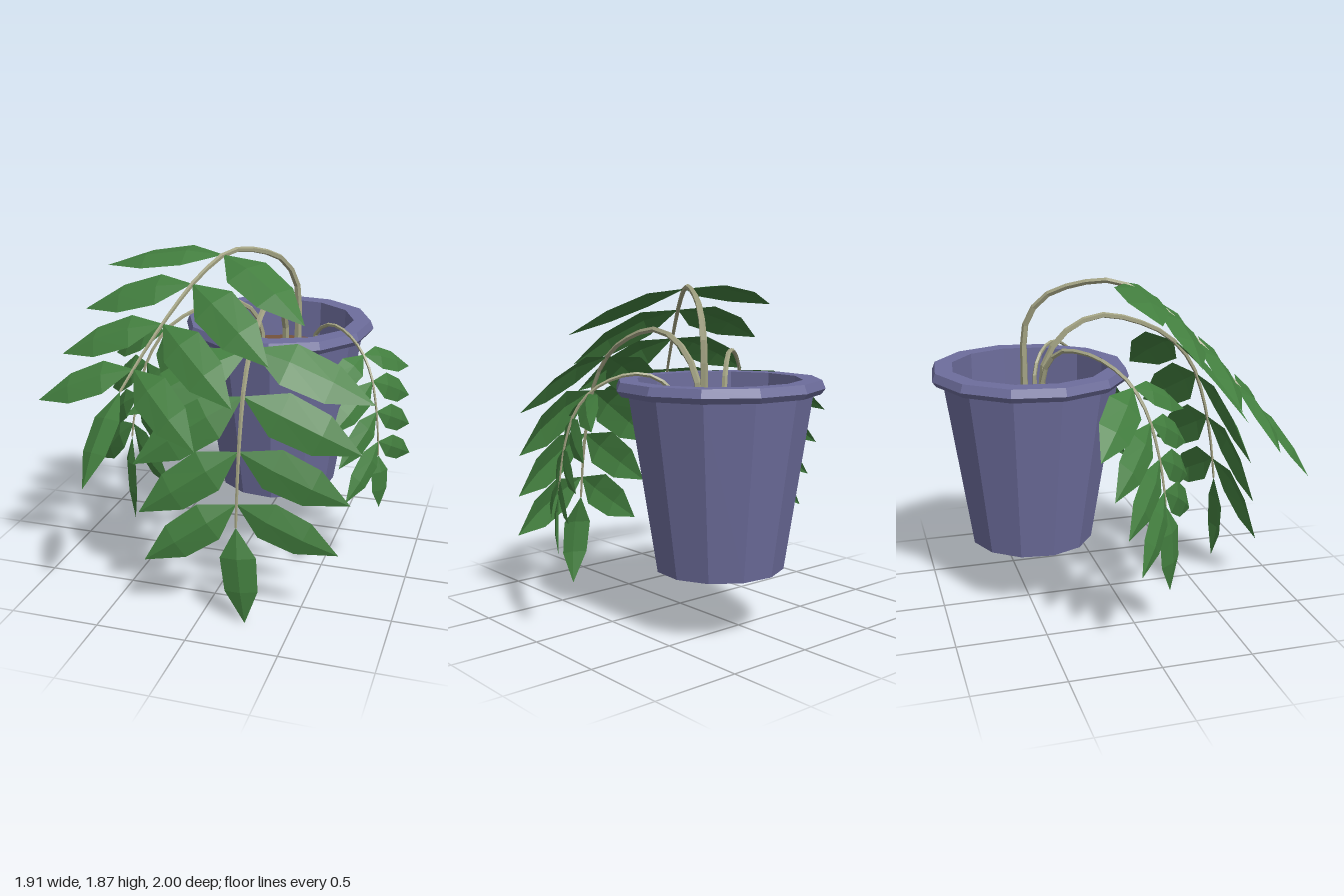
import * as THREE from 'three';

const mat = (name, color) => new THREE.MeshStandardMaterial({ name, color, flatShading: true, side: THREE.DoubleSide });
const V = (p) => new THREE.Vector3(...p);

// How far a stem has travelled outwards at each of its ten control points (0 root, 1 end)
const SWEEP = [0, 0, 0.01, 0.09, 0.25, 0.42, 0.58, 0.73, 0.87, 1];
const HANG = [0, 0.02, 0.15, 0.32, 0.51, 0.71, 0.85, 0.93, 0.975, 1];
const SOIL_ROOT = 1.12;
// Where the leaf pairs sit along every stem
const PAIRS = [0.575, 0.695, 0.815, 0.94];
// Leaf folded along its midrib and gently arched: [position, half width, rib rise, edge rise] per length
const LEAF = [[0, 0, 0, 0], [0.3, 0.18, 0.065, 0.025], [0.65, 0.165, 0.06, 0.02], [1, 0, 0, 0]];

function leafGeometry(base, tip, outward) {
  const dir = tip.clone().sub(base);
  const len = dir.length();
  dir.normalize();
  const up = outward.clone().addScaledVector(dir, -outward.dot(dir)).normalize();
  const across = dir.clone().cross(up);
  const pos = [], idx = [];
  LEAF.forEach(([t, w, rib, edge], i) => {
    for (const s of [-1, 0, 1]) {
      const p = base.clone().addScaledVector(dir, t * len)
        .addScaledVector(across, s * w * len).addScaledVector(up, (s ? edge : rib) * len);
      pos.push(p.x, p.y, p.z);
    }
    if (i === LEAF.length - 1) return;
    for (const a of [i * 3, i * 3 + 1]) {
      if (i > 0) idx.push(a, a + 1, a + 4);
      if (i < LEAF.length - 2) idx.push(a, a + 4, a + 3);
    }
  });
  const g = new THREE.BufferGeometry();
  g.setAttribute('position', new THREE.Float32BufferAttribute(pos, 3));
  g.setIndex(idx);
  g.computeVertexNormals();
  return g;
}

// Five-sided tube that narrows towards its end
function stemGeometry(curve, radius) {
  const steps = 18, sides = 5;
  const g = new THREE.TubeGeometry(curve, steps, radius, sides, false);
  const pos = g.attributes.position, p = new THREE.Vector3();
  for (let i = 0; i < pos.count; i++) {
    const u = Math.floor(i / (sides + 1)) / steps;
    const c = curve.getPointAt(u);
    p.fromBufferAttribute(pos, i).sub(c).multiplyScalar(1 - 0.68 * u).add(c);
    pos.setXYZ(i, p.x, p.y, p.z);
  }
  g.computeVertexNormals();
  return g;
}

export function createModel() {
  const potMat = mat('potBlue', 0x6d6d9c);
  const soilMat = mat('soilBrown', 0x75523b);
  const leafMat = mat('leafGreen', 0x437f3f);
  const stemMat = mat('stemOlive', 0xa3a383);
  const model = new THREE.Group();
  const add = (parent, name, geo, m) => {
    const mesh = new THREE.Mesh(geo, m);
    mesh.name = name;
    parent.add(mesh);
  };

  // Twelve-sided pot with a bevelled rim, leaning very slightly forward
  const planter = new THREE.Group();
  planter.name = 'planter';
  planter.position.set(0.105, 0.36, -0.452);
  planter.rotation.x = 0.01;
  const turned = (points) =>
    new THREE.LatheGeometry(points.map((p) => new THREE.Vector2(...p)), 12, THREE.MathUtils.degToRad(8.7));
  add(planter, 'pot', turned([[0, 0], [0.352, 0], [0.5, 0.95], [0.54, 0.95], [0.563, 0.98],
    [0.545, 1.025], [0.445, 1.025], [0.44, 0.76]]), potMat);
  add(planter, 'soil', turned([[0.441, 0.79], [0, 0.79]]), soilMat);
  model.add(planter);

  // Frond in an upright plane from root [x, z] to end [x, z]; each row of leaves
  // runs evenly from its first tip to its last, and one leaf closes the stem
  const addFrond = (name, { radius, reach, root, end, heights, rows, endTip }) => {
    const frond = new THREE.Group();
    frond.name = name;
    const from = new THREE.Vector3(root[0], 0, root[1]);
    const to = new THREE.Vector3(end[0], 0, end[1]);
    const curve = new THREE.CatmullRomCurve3([SOIL_ROOT, ...heights].map((y, i) =>
      from.clone().lerp(to, reach[i]).setY(y)));
    const side = to.clone().sub(from).normalize().cross(new THREE.Vector3(0, 1, 0));
    const addLeaf = (u, tip, label) =>
      add(frond, label, leafGeometry(curve.getPoint(u), tip, side.clone().cross(curve.getTangent(u))), leafMat);
    add(frond, 'stem', stemGeometry(curve, radius), stemMat);
    for (const [first, last] of rows) {
      PAIRS.forEach((u, i) => addLeaf(u, V(first).lerp(V(last), i / 3), 'leaf'));
    }
    addLeaf(1, V(endTip), 'endLeaf');
    model.add(frond);
  };

  addFrond('tallFrond', {
    radius: 0.023, reach: SWEEP, root: [0.22, -0.45], end: [-0.45, 0.68],
    heights: [1.37, 1.59, 1.75, 1.84, 1.86, 1.76, 1.6, 1.42, 1.23],
    rows: [[[-0.77, 1.75, 0.05], [-0.96, 1.11, 0.62]], [[0.47, 1.59, 0.43], [0.04, 1.04, 0.92]]],
    endTip: [-0.54, 0.8, 1.0],
  });
  addFrond('frontFrond', {
    radius: 0.022, reach: HANG, root: [0.17, -0.36], end: [0.195, 0.73],
    heights: [1.38, 1.56, 1.63, 1.59, 1.48, 1.3, 1.05, 0.8, 0.56],
    rows: [[[-0.42, 1.1, 0.68], [-0.29, 0.34, 0.81]], [[0.84, 1.18, 0.37], [0.72, 0.42, 0.62]]],
    endTip: [0.25, 0.01, 0.75],
  });
  addFrond('rightFrond', {
    radius: 0.017, reach: HANG, root: [0.02, -0.39], end: [-0.63, 0.13],
    heights: [1.36, 1.49, 1.51, 1.48, 1.39, 1.24, 1.06, 0.9, 0.75],
    rows: [[[-0.9, 1.12, -0.3], [-0.92, 0.49, -0.09]], [[-0.27, 1.17, 0.35], [-0.29, 0.58, 0.39]]],
    endTip: [-0.61, 0.24, 0.17],
  });
  addFrond('leftFrond', {
    radius: 0.014, reach: HANG, root: [0.33, -0.37], end: [0.815, 0.04],
    heights: [1.3, 1.39, 1.42, 1.4, 1.33, 1.22, 1.07, 0.92, 0.77],
    rows: [[[0.55, 1.15, 0.28], [0.69, 0.58, 0.31]], [[0.9, 1.17, -0.39], [0.95, 0.69, -0.25]]],
    endTip: [0.83, 0.45, 0.03],
  });
  return model;
}
